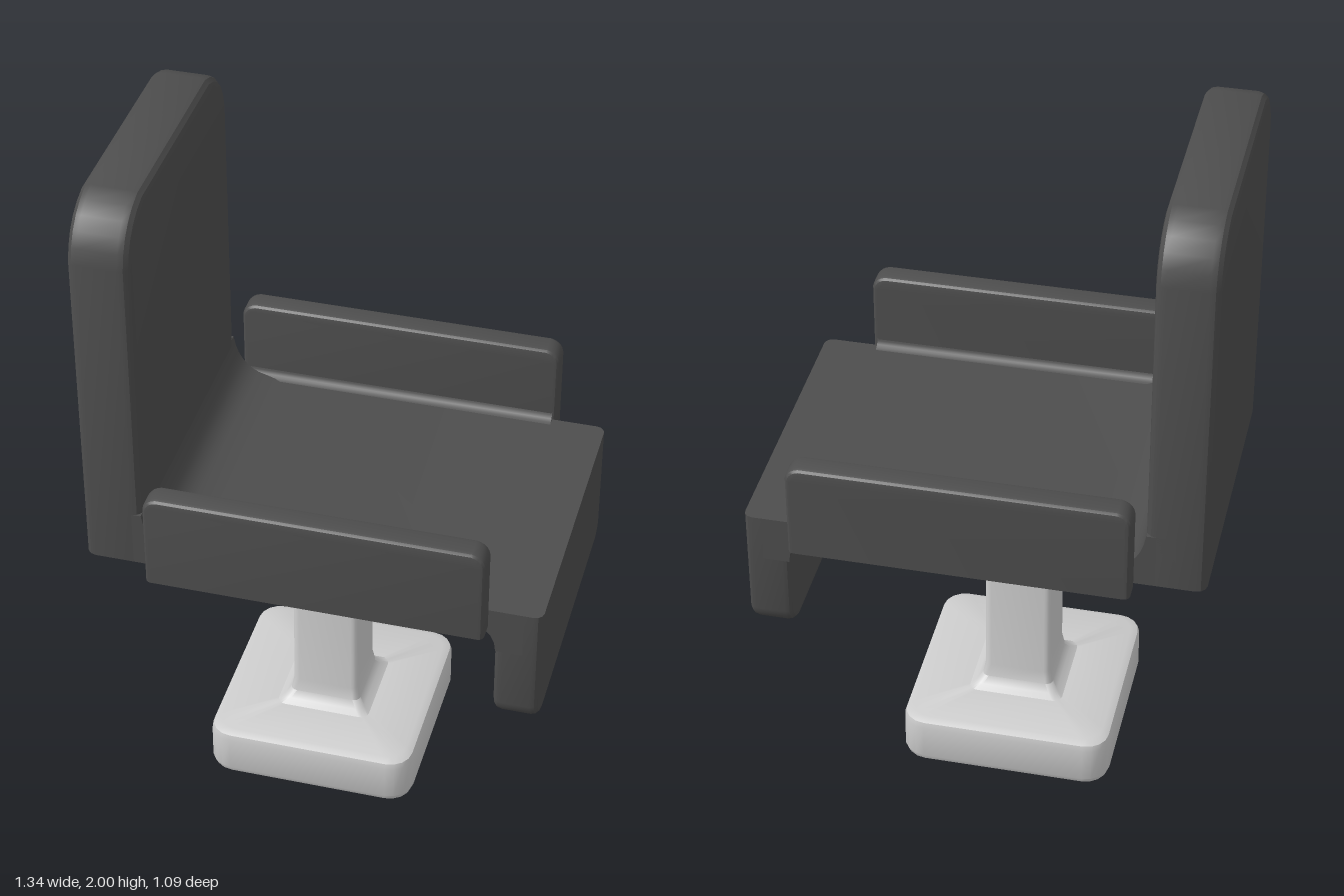
import * as THREE from 'three';
import { toCreasedNormals } from 'three/addons/utils/BufferGeometryUtils.js';

const dark = new THREE.MeshStandardMaterial({ color: 0x4d4d4d });
const grey = new THREE.MeshStandardMaterial({ color: 0xcccccc });

function addMesh(parent, name, geometry, material) {
  const mesh = new THREE.Mesh(toCreasedNormals(geometry, 0.5), material);
  mesh.name = name;
  parent.add(mesh);
  return mesh;
}

// Cushion panel standing on a flat y = 0 end, with softened sides and rounded top corners
function panelGeometry(width, height, thickness, cornerX, cornerY, bevel) {
  const w = width / 2 - bevel, h = height - bevel;
  const s = new THREE.Shape();
  s.moveTo(-w, 0);
  s.lineTo(w, 0);
  s.lineTo(w, h - cornerY);
  s.quadraticCurveTo(w - cornerX * 0.12, h - cornerY * 0.2, w - cornerX, h);
  s.lineTo(-w + cornerX, h);
  s.quadraticCurveTo(-w + cornerX * 0.12, h - cornerY * 0.2, -w, h - cornerY);
  s.closePath();
  const g = new THREE.ExtrudeGeometry(s, {
    depth: thickness - 2 * bevel, bevelSize: bevel, bevelThickness: bevel,
    bevelSegments: 3, curveSegments: 5,
  });
  g.translate(0, 0, bevel - thickness / 2);
  // keep the lower end square
  const p = g.attributes.position;
  for (let i = 0; i < p.count; i++) p.setY(i, Math.max(0, p.getY(i)));
  return g;
}

// Rounded-square rings [y, half width, corner radius] joined into a closed skin
function loftGeometry(rings) {
  const steps = 5, n = 4 * steps, pos = [], index = [];
  for (const [y, half, r] of rings) {
    for (let c = 0; c < 4; c++) {
      const mid = Math.PI / 4 + c * Math.PI / 2;
      for (let k = 0; k < steps; k++) {
        const a = mid + (k / (steps - 1) - 0.5) * Math.PI / 2;
        pos.push(Math.sign(Math.cos(mid)) * (half - r) + r * Math.cos(a), y,
          Math.sign(Math.sin(mid)) * (half - r) + r * Math.sin(a));
      }
    }
  }
  for (let j = 0; j < rings.length - 1; j++) {
    for (let i = 0; i < n; i++) {
      const a = j * n + i, b = j * n + (i + 1) % n;
      index.push(a, a + n, b, b, a + n, b + n);
    }
  }
  const top = (rings.length - 1) * n;
  for (let i = 1; i < n - 1; i++) {
    index.push(0, i, i + 1, top, top + i + 1, top + i);
  }
  const g = new THREE.BufferGeometry();
  g.setAttribute('position', new THREE.Float32BufferAttribute(pos, 3));
  g.setIndex(index);
  g.computeVertexNormals();
  return g;
}

export function createModel() {
  const model = new THREE.Group();
  model.name = 'chair';
  const chair = new THREE.Group();
  chair.name = 'turnedChair';
  chair.rotation.y = 0.072;
  model.add(chair);

  // Foot plate flaring into the square post
  const pedestal = addMesh(chair, 'pedestal', loftGeometry([
    [0, 0.285, 0.06], [0.008, 0.298, 0.065], [0.025, 0.305, 0.07], [0.13, 0.305, 0.07],
    [0.147, 0.3, 0.065], [0.157, 0.28, 0.06], [0.158, 0.138, 0.025], [0.17, 0.12, 0.022],
    [0.19, 0.105, 0.02], [0.23, 0.098, 0.02], [0.89, 0.097, 0.02],
  ]), grey);
  pedestal.position.set(-0.06, 0, -0.012);

  // Seat slab with a cove into the backrest and another under the front lip
  const s = new THREE.Shape();
  s.moveTo(-0.56, 0.885);
  s.lineTo(0.38, 0.885);
  s.quadraticCurveTo(0.515, 0.885, 0.515, 0.79);
  s.lineTo(0.59, 0.79);
  s.lineTo(0.59, 0.93);
  s.lineTo(-0.33, 0.93);
  s.lineTo(-0.4, 0.94);
  s.quadraticCurveTo(-0.465, 0.955, -0.478, 1.05);
  s.lineTo(-0.56, 1.05);
  s.closePath();
  const seat = new THREE.ExtrudeGeometry(s, { depth: 0.874, bevelEnabled: false, curveSegments: 6 });
  seat.translate(0, 0, -0.437);
  addMesh(chair, 'seat', seat, dark);

  // Backrest
  const back = addMesh(chair, 'backrest', panelGeometry(0.874, 1.115, 0.17, 0.12, 0.13, 0.03), dark);
  back.rotation.y = Math.PI / 2;
  back.position.set(-0.56, 0.885, 0);

  // Front lip hanging from the seat edge
  const lip = addMesh(chair, 'frontLip', panelGeometry(0.874, 0.385, 0.13, 0.04, 0.04, 0.025), dark);
  lip.rotation.set(Math.PI, Math.PI / 2, 0, 'YXZ');
  lip.position.set(0.576, 0.93, 0);

  // Low side arms with a small cove where they meet the seat
  for (const [side, label] of [[1, 'right'], [-1, 'left']]) {
    const arm = addMesh(chair, label + 'Arm', panelGeometry(0.945, 0.285, 0.076, 0.025, 0.025, 0.016), dark);
    arm.position.set(0.023, 0.885, side * 0.473);

    const c = new THREE.Shape();
    c.moveTo(0, 0);
    c.lineTo(0.03, 0);
    c.quadraticCurveTo(0.004, 0.004, 0, 0.03);
    c.closePath();
    const coveGeometry = new THREE.ExtrudeGeometry(c, { depth: 0.92, bevelEnabled: false, curveSegments: 4 });
    coveGeometry.translate(0, 0, -0.46);
    const cove = addMesh(chair, label + 'ArmCove', coveGeometry, dark);
    cove.rotation.y = side * Math.PI / 2;
    cove.position.set(0.023, 0.929, side * 0.437);
  }
  return model;
}
